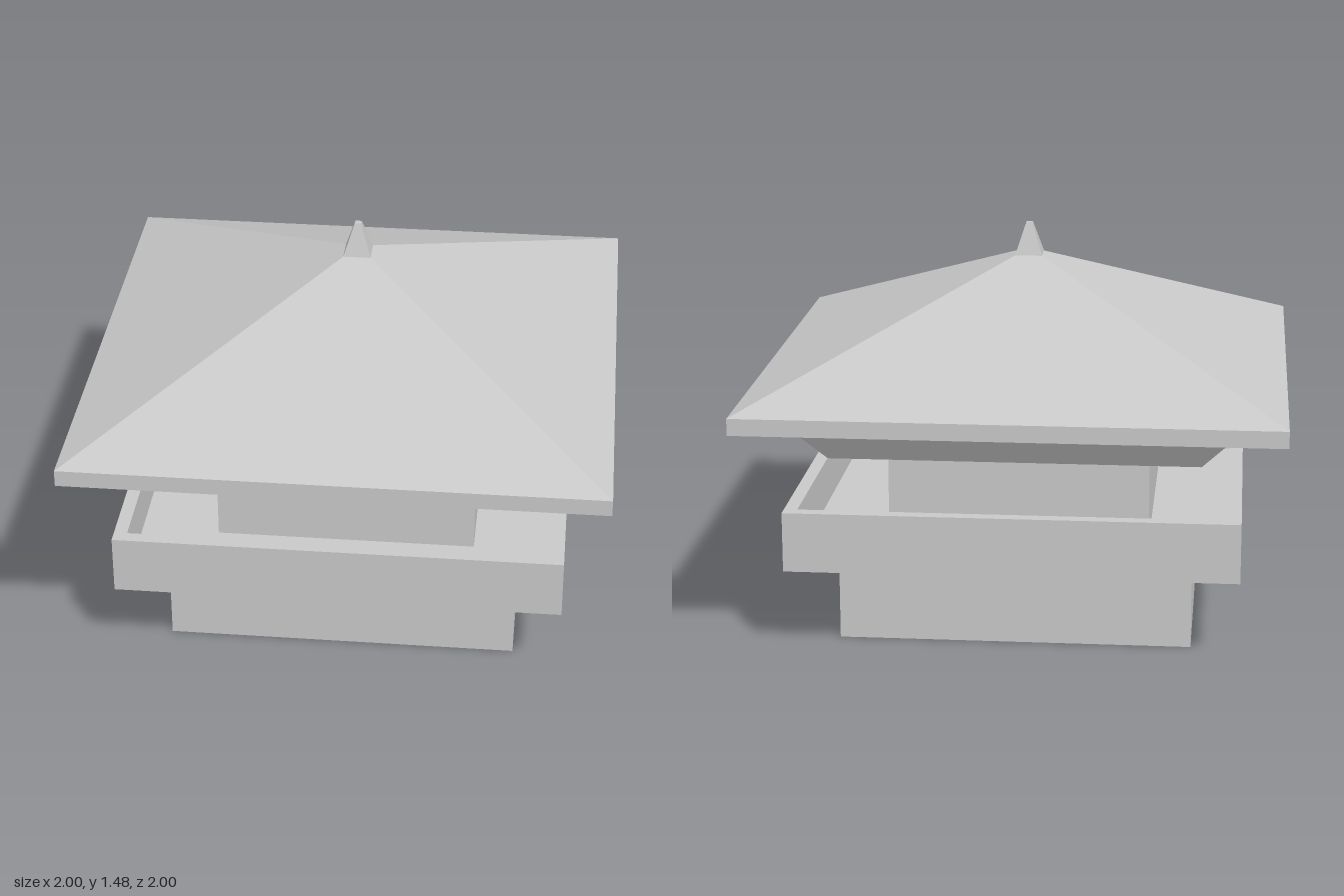
import * as THREE from 'three';

// Thin shell surfaces are seen from inside and outside.
const stone = new THREE.MeshStandardMaterial({ color: 0xc8c8c8, side: THREE.DoubleSide });
stone.name = 'grey stone';

// Square shell: profile of [half width, height] swept round four flat sides.
function squareShell(name, profile) {
  const points = profile.map(([half, y]) => new THREE.Vector2(half * Math.SQRT2, y));
  const geometry = new THREE.LatheGeometry(points, 4, Math.PI / 4).toNonIndexed();
  geometry.computeVertexNormals();
  const mesh = new THREE.Mesh(geometry, stone);
  mesh.name = name;
  return mesh;
}

export function createModel() {
  const group = new THREE.Group();
  group.name = 'pavilionTower';

  group.add(
    // Open-bottomed lower storey
    squareShell('baseWalls', [[0.66, 0], [0.66, 0.315]]),
    // Balcony: underside, outer wall, rim, inner wall and floor
    squareShell('balcony', [
      [0.63, 0.36], [0.63, 0.315], [0.84, 0.315], [0.84, 0.54],
      [0.79, 0.54], [0.79, 0.36], [0.493, 0.36],
    ]),
    // Upper storey
    squareShell('upperWalls', [[0.493, 0.36], [0.493, 0.71]]),
    // Flared support below the eaves
    squareShell('eaveSupport', [[0.493, 0.71], [0.69, 0.71], [0.83, 0.875]]),
    // Soffit, fascia and sloping roof
    squareShell('roof', [[0.83, 0.875], [1, 0.875], [1, 0.938], [0.052, 1.355]]),
    // Tapered finial with a small flat tip
    squareShell('finial', [[0.052, 1.355], [0.012, 1.478], [0, 1.478]]),
  );
  return group;
}
